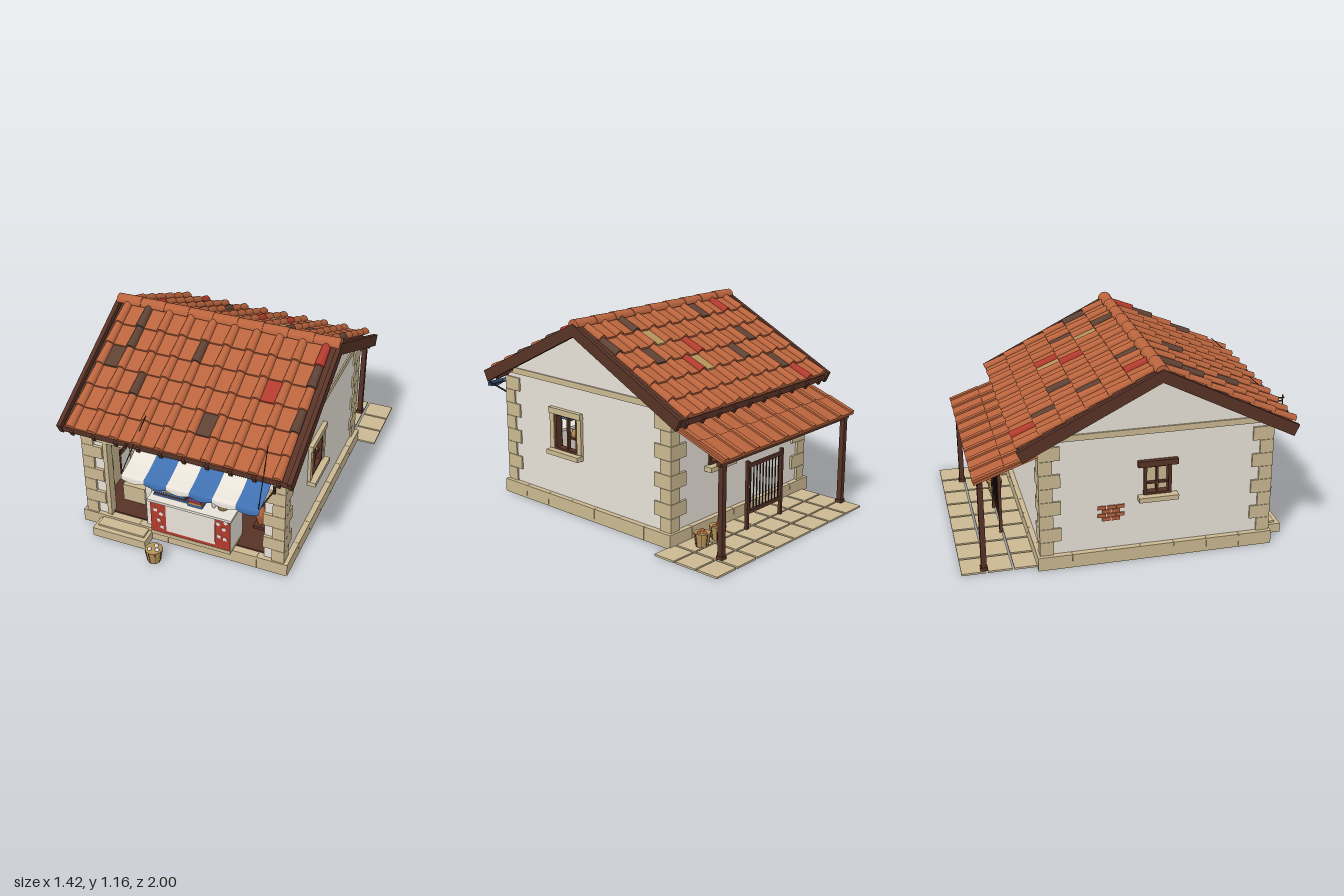
import * as THREE from 'three';

const mat = (name, color, side = THREE.FrontSide) => Object.assign(new THREE.MeshStandardMaterial({ color, side }), { name });
const M = {
  tile: mat('terracotta', 0xba643d), burnt: mat('burnt tile', 0x5e4234), timber: mat('dark timber', 0x573226),
  stone: mat('sandstone', 0xcab891), plaster: mat('plaster', 0xeae4da, THREE.DoubleSide), dark: mat('charcoal', 0x352520),
  blue: mat('blue cloth', 0x3f70b0, THREE.DoubleSide), red: mat('red', 0xb23a2d, THREE.DoubleSide),
  purple: mat('purple cloth', 0x8c48a6, THREE.DoubleSide), straw: mat('straw', 0xb5935a, THREE.DoubleSide),
};

export function createModel() {
  const root = new THREE.Group();
  root.name = 'marketHouse';
  const add = (name, geo, m, p = [0, 0, 0], parent = root) => {
    const mesh = new THREE.Mesh(geo, m);
    mesh.name = name;
    mesh.position.set(...p);
    parent.add(mesh);
    return mesh;
  };
  const box = (name, m, x0, x1, y0, y1, z0, z1, parent = root) =>
    add(name, new THREE.BoxGeometry(x1 - x0, y1 - y0, z1 - z0), m, [(x0 + x1) / 2, (y0 + y1) / 2, (z0 + z1) / 2], parent);
  const rod = (name, m, a, b, r) =>
    add(name, new THREE.TubeGeometry(new THREE.LineCurve3(new THREE.Vector3(...a), new THREE.Vector3(...b)), 1, r, 6), m);
  const lathe = (name, m, pts, p) => add(name, new THREE.LatheGeometry(pts.map(q => new THREE.Vector2(...q)), 12), m, p);
  const poly = pts => new THREE.Shape(pts.map(q => new THREE.Vector2(...q)));
  const rectHole = (x0, x1, y0, y1) => new THREE.Path([[x0, y0], [x0, y1], [x1, y1], [x1, y0]].map(q => new THREE.Vector2(...q)));
  const extrude = (shape, depth) => new THREE.ExtrudeGeometry(shape, { depth, bevelEnabled: false });
  // Profile drawn in z and y, extruded towards -x from x
  const sideExtrude = (name, m, shape, depth, x) => { add(name, extrude(shape, depth), m, [x, 0, 0]).rotation.y = -Math.PI / 2; };

  // Plinth blocks and floor
  box('floorBase', M.timber, -0.61, 0.55, 0.004, 0.088, -0.54, 0.715);
  for (let i = 0; i < 7; i++) {
    const x = -0.66 + i * 0.18, z = -0.585 + i * 0.192;
    for (const z0 of [-0.585, 0.7]) box('plinthBlock', M.stone, x, x + 0.1785, 0, 0.08, z0, z0 + 0.06);
    for (const x0 of [-0.66, 0.54]) box('plinthBlock', M.stone, x0, x0 + 0.06, 0, 0.08, z, z + 0.1905);
  }
  box('doorStep', M.stone, -0.55, -0.22, 0, 0.055, 0.76, 0.86);
  box('stepTread', M.stone, -0.53, -0.24, 0.055, 0.066, 0.76, 0.83);

  // Gable walls with window holes, lined inside
  const gable = (...hole) => {
    const s = poly([[-0.555, 0.08], [0.735, 0.08], [0.735, 0.75], [0.09, 1.08], [-0.555, 0.75]]);
    if (hole.length) s.holes.push(rectHole(...hole));
    return s;
  };
  const right = gable(0.145, 0.32, 0.365, 0.575);
  sideExtrude('sideWall', M.plaster, right, 0.035, 0.567);
  sideExtrude('sideLining', M.stone, right, 0.006, 0.531);
  sideExtrude('sideWall', M.plaster, gable(0.02, 0.16, 0.39, 0.56), 0.035, -0.592);
  sideExtrude('sideLining', M.stone, gable(), 0.006, -0.586);

  // Back wall with lining
  const back = poly([[-0.595, 0.08], [0.535, 0.08], [0.535, 0.75], [-0.595, 0.75]]);
  back.holes.push(rectHole(0.105, 0.245, 0.39, 0.555));
  add('backWall', extrude(back, 0.035), M.plaster, [0, 0, -0.555]);
  add('backLining', extrude(back, 0.006), M.stone, [0, 0, -0.519]);

  // Front wall around the door and the shop opening
  for (const [x0, x1, y0] of [[-0.595, -0.505, 0.08], [-0.26, -0.205, 0.08], [0.455, 0.535, 0.08], [-0.595, 0.535, 0.63]])
    box('frontWall', M.plaster, x0, x1, y0, y0 > 0.5 ? 0.75 : 0.63, 0.69, 0.735);
  box('doorJamb', M.stone, -0.51, -0.485, 0.08, 0.6, 0.685, 0.742);
  box('doorLintel', M.stone, -0.56, -0.2, 0.595, 0.645, 0.685, 0.744);
  box('shopJamb', M.stone, -0.22, -0.195, 0.08, 0.6, 0.685, 0.742);
  box('shopLintel', M.timber, -0.2, 0.46, 0.6, 0.64, 0.685, 0.742);

  // Corner stones and wall-top bands
  for (const sx of [-1, 1]) for (const sz of [-1, 1]) for (let i = 0; i < 8; i++) {
    const lx = i % 2 ? 0.125 : 0.072, lz = i % 2 ? 0.12 : 0.077;
    const x = sx > 0 ? 0.577 - lx : -0.638, z = sz > 0 ? 0.752 - lz : -0.57, y = 0.08 + i * 0.081;
    box('cornerStone', M.stone, x, x + lx, y, y + 0.079, z, z + lz);
  }
  for (const x of [-0.636, 0.557]) box('gableBand', M.stone, x, x + 0.018, 0.75, 0.785, -0.55, 0.73);
  box('backBand', M.stone, -0.6, 0.54, 0.72, 0.75, -0.566, -0.55);

  // Windows
  const makeWindow = (w, h, p, turn, dressed) => {
    const g = new THREE.Group();
    g.name = 'window';
    g.position.set(...p);
    g.rotation.y = turn;
    root.add(g);
    const a = w / 2, b = h / 2;
    for (const s of [-1, 1]) {
      box('frameSide', M.timber, s * a - 0.009, s * a + 0.009, -b, b, -0.03, 0.012, g);
      box('frameRail', M.timber, -a - 0.009, a + 0.009, s * b - 0.009, s * b + 0.009, -0.03, 0.012, g);
      if (dressed) box('jambStone', M.stone, s * (a + 0.024) - 0.017, s * (a + 0.024) + 0.017, -b, b, -0.01, 0.018, g);
    }
    box('mullion', M.timber, -0.006, 0.006, -b, b, -0.02, 0, g);
    box('glazingBar', M.timber, dressed ? 0 : -a, a, -0.03, -0.02, -0.02, 0, g);
    box('sill', M.stone, -a - 0.042, a + 0.042, -b - 0.032, -b - 0.004, -0.01, 0.05, g);
    box('lintel', dressed ? M.stone : M.timber, -a - 0.042, a + 0.042, b, b + 0.035, -0.01, 0.026, g);
  };
  makeWindow(0.175, 0.21, [0.567, 0.47, 0.232], Math.PI / 2, true);
  makeWindow(0.14, 0.17, [-0.627, 0.475, 0.09], -Math.PI / 2, false);
  makeWindow(0.14, 0.17, [0.175, 0.472, -0.555], Math.PI, false);
  lathe('windowPot', M.straw, [[0, 0], [0.012, 0], [0.019, 0.022], [0.01, 0.038], [0.014, 0.046], [0, 0.046]], [0.55, 0.45, 0.195]);

  // Bare brick patch
  for (let r = 0; r < 4; r++) for (let c = 0; c < 2 + (r % 2); c++) {
    const z = -0.22 + c * 0.052 - (r % 2) * 0.026;
    box('brick', M.tile, -0.634, -0.625, 0.25 + r * 0.024, 0.27 + r * 0.024, z, z + 0.046);
  }

  // Roof deck, bargeboards, fascias and rafters
  const slope = Math.atan(0.5);
  const chevron = (top, run, t) => poly([[0, top], [-run, top - run / 2], [-run + 0.03, top - run / 2 - t + 0.01],
    [0, top - t], [run - 0.03, top - run / 2 - t + 0.01], [run, top - run / 2]].map(([z, y]) => [z + 0.09, y]));
  sideExtrude('roofDeck', M.timber, chevron(1.112, 0.755, 0.035), 1.3, 0.62);
  for (const x of [0.645, -0.685]) sideExtrude('bargeboard', M.timber, chevron(1.137, 0.78, 0.072), 0.025, x);
  for (const s of [-1, 1]) {
    const z = 0.09 + s * 0.745;
    box('fascia', M.timber, -0.7, 0.635, 0.7, 0.732, z - 0.012, z + 0.012);
    for (let i = 0; i < 10; i++)
      add('rafter', new THREE.BoxGeometry(0.02, 0.034, 0.18), M.timber, [-0.63 + i * 0.133, 0.738, 0.09 + s * 0.68]).rotation.x = s * slope;
  }

  // Roof tiles: odd-coloured ones keyed by side, kind, column and row
  const odd = {
    burnt: 'fc10 fc11 fc41 fc23 fc91 fc93 fp02 fp54 bp14 bc33 bp12 bp72 bp20 bc70 bc91',
    red: 'fc90 fp72 bc15 bc63 bc52 bc10', straw: 'bp53 bp61',
  };
  const tileMat = key => M[Object.keys(odd).find(k => odd[k].includes(key)) || 'tile'];
  const L = 0.139;
  for (const s of [1, -1]) {
    const g = new THREE.Group();
    g.name = s > 0 ? 'frontTiles' : 'backTiles';
    g.position.set(0, 1.119, 0.09);
    g.rotation.x = s * slope;
    root.add(g);
    const cover = new THREE.CylinderGeometry(s > 0 ? 0.028 : 0.023, s > 0 ? 0.023 : 0.028, L + 0.02, 8, 1, false, Math.PI / 2, Math.PI).rotateX(Math.PI / 2);
    const pan = new THREE.BoxGeometry(0.13, 0.016, L + 0.015);
    const side = s > 0 ? 'f' : 'b';
    for (let r = 0; r < 6; r++) for (let c = 0; c < 10; c++) {
      const x = -0.63 + c * 0.1328, d = s * ((r + 0.5) * L + 0.015);
      add('coverTile', cover, tileMat(side + 'c' + c + r), [x, 0.012, d], g).rotation.x = -s * 0.06;
      if (c < 9) add('panTile', pan, tileMat(side + 'p' + c + r), [x + 0.0664, 0.006, d], g).rotation.x = -s * 0.08;
    }
  }
  const cap = new THREE.CylinderGeometry(0.036, 0.04, 0.152, 10, 1, false, 0, Math.PI).rotateZ(Math.PI / 2);
  for (let i = 0; i < 9; i++) add('ridgeTile', cap, M.tile, [-0.626 + i * 0.1485, 1.122, 0.088]);

  // Back porch: tiled lean-to, posts, paving
  const porch = new THREE.Group();
  porch.name = 'porchRoof';
  porch.position.set(0, 0.685, -0.565);
  porch.rotation.x = -0.347;
  root.add(porch);
  box('porchDeck', M.tile, -0.63, 0.57, -0.012, 0.002, -0.37, 0, porch);
  for (let r = 0; r < 2; r++) for (let i = 0; i < 10; i++) {
    const x = -0.61 + i * 0.128, z = -0.37 + r * 0.18, lift = r ? 0 : 0.004;
    box('porchRib', M.tile, x - 0.014, x + 0.014, 0, 0.012 + lift, z, z + 0.185, porch);
    if (!r && i < 9) box('porchPan', M.tile, x + 0.016, x + 0.112, 0, 0.007, z, z + 0.185, porch);
  }
  for (const x of [-0.585, 0.525]) {
    box('porchPost', M.timber, x - 0.015, x + 0.015, 0.01, 0.54, -0.89, -0.86);
    box('postFoot', M.timber, x - 0.02, x + 0.02, 0.01, 0.03, -0.895, -0.855);
  }
  box('porchBeam', M.timber, -0.62, 0.56, 0.525, 0.55, -0.888, -0.862);
  for (let i = 0; i < 8; i++) for (let j = 0; j < 3; j++)
    box('pavingSlab', M.stone, -0.61 + i * 0.167, -0.457 + i * 0.167, 0, 0.011, -1 + j * 0.145, -0.866 + j * 0.145);

  // Standing barred frame behind the house
  for (const x of [-0.19, 0.12]) box('frameStile', M.timber, x - 0.009, x + 0.009, 0.01, 0.41, -0.734, -0.716);
  for (const y of [0.1, 0.37]) box('frameBar', M.timber, -0.19, 0.12, y, y + 0.02, -0.733, -0.717);
  for (let i = 0; i < 10; i++) rod('uprightBar', M.dark, [-0.163 + i * 0.0284, 0.11, -0.725], [-0.163 + i * 0.0284, 0.38, -0.725], 0.004);

  // Slatted baskets
  for (const [x, y, z, k] of [[-0.135, 0, 0.914, 1], [0.46, 0.011, -0.69, 0.92], [0.33, 0.011, -0.69, 0.92]]) {
    add('basket', new THREE.CylinderGeometry(0.051 * k, 0.038 * k, 0.085 * k, 10), M.straw, [x, y + 0.0425 * k, z]);
    for (let i = 0; i < 8; i++) {
      const c = k * Math.cos(i * 0.785 + 0.2), s = k * Math.sin(i * 0.785 + 0.2);
      rod('basketSlat', M.timber, [x + 0.037 * c, y + 0.002, z + 0.037 * s], [x + 0.05 * c, y + 0.085 * k, z + 0.05 * s], 0.002);
      if (i % 3 === 0) add('produce', new THREE.SphereGeometry(0.013 * k, 8, 6), z > 0 ? M.plaster : M.tile, [x + 0.024 * c, y + 0.085 * k, z + 0.024 * s]);
    }
  }

  // Striped awning with scalloped valance
  for (let i = 0; i < 6; i++) {
    const geo = new THREE.PlaneGeometry(0.13, 1, 8, 10), p = geo.attributes.position;
    for (let k = 0; k < p.count; k++) {
      const u = p.getX(k) / 0.13 + 0.5, t = 0.5 - p.getY(k), a = Math.min(t / 0.8, 1), v = Math.max(t - 0.8, 0) / 0.2;
      p.setY(k, 0.72 - 0.087 * a - 0.015 * Math.sin(Math.PI * a) - v * (0.025 + 0.016 * Math.sin(Math.PI * u)));
      p.setZ(k, 0.76 + 0.232 * a + 0.004 * v);
    }
    geo.computeVertexNormals();
    add('awningStripe', geo, i % 2 ? M.blue : M.plaster, [-0.195 + i * 0.13, 0, 0]);
  }
  for (const [x, xr] of [[-0.262, -0.225], [0.512, 0.47]]) {
    rod('awningRope', M.dark, [x, 0.638, 0.985], [xr, 0.86, 0.745], 0.0025);
    rod('awningArm', M.dark, [x, 0.632, 0.985], [x, 0.58, 0.75], 0.005);
    box('awningBracket', M.dark, x - 0.008, x + 0.008, 0.555, 0.61, 0.735, 0.755);
  }
  rod('awningBar', M.timber, [-0.26, 0.615, 0.978], [0.51, 0.615, 0.978], 0.004);

  // Blank hanging sign
  rod('signArm', M.timber, [-0.29, 0.735, 0.74], [-0.29, 0.735, 0.945], 0.005);
  box('signBoard', M.plaster, -0.294, -0.286, 0.6, 0.715, 0.84, 0.935);
  for (const z of [0.835, 0.935]) rod('signEdge', M.timber, [-0.29, 0.59, z], [-0.29, 0.755, z], 0.005);
  for (const y of [0.597, 0.715]) rod('signEdge', M.timber, [-0.29, y, 0.835], [-0.29, y, 0.935], 0.005);

  // Counter with painted front panels and chipped spots
  box('counterBase', M.stone, -0.2, 0.28, 0.088, 0.112, 0.62, 0.805);
  box('counterBody', M.plaster, -0.2, 0.28, 0.112, 0.33, 0.62, 0.798);
  box('counterFront', M.red, -0.2, 0.28, 0.112, 0.33, 0.798, 0.803);
  box('counterPanel', M.plaster, -0.105, 0.19, 0.135, 0.33, 0.8, 0.807);
  box('counterTop', M.plaster, -0.212, 0.292, 0.33, 0.346, 0.61, 0.818);
  [[-0.17, 0.27], [-0.135, 0.25], [-0.15, 0.2], [-0.13, 0.155], [0.21, 0.29], [0.245, 0.26], [0.215, 0.2], [0.255, 0.31], [0.25, 0.19]].forEach(([x, y], i) => {
    add('chip', new THREE.BoxGeometry(0.022, 0.022, 0.005), M.plaster, [x, y, 0.803]).rotation.z = i;
  });

  // Folded cloth and wares on the counter
  ['blue', 'timber', 'blue', 'straw', 'timber', 'straw'].forEach((c, i) =>
    box('foldedCloth', M[c], -0.192 + (i % 2) * 0.008, 0.012 - i * 0.008, 0.346 + i * 0.012, 0.357 + i * 0.012, 0.67, 0.77));
  ['blue', 'straw', 'red', 'purple'].forEach((c, i) =>
    box('foldedCloth', M[c], 0.02 + i * 0.003, 0.108 - i * 0.003, 0.346 + i * 0.014, 0.359 + i * 0.014, 0.7, 0.785));
  lathe('smallVase', M.plaster, [[0, 0], [0.01, 0], [0.014, 0.03], [0.006, 0.055], [0.008, 0.075]], [0.16, 0.346, 0.74]);
  lathe('smallBasket', M.straw, [[0, 0], [0.028, 0], [0.036, 0.04], [0.03, 0.04], [0, 0.03]], [0.21, 0.346, 0.73]);

  // Hanging textiles and rings
  rod('hangingRail', M.timber, [-0.2, 0.6, 0.77], [0.46, 0.6, 0.77], 0.005);
  for (const [x, c] of [[-0.127, 'red'], [0.075, 'straw'], [0.275, 'purple']]) {
    const geo = new THREE.PlaneGeometry(0.074, 0.16, 24, 1), p = geo.attributes.position;
    for (let k = 0; k < p.count; k++) p.setZ(k, 0.003 * Math.sin(p.getX(k) * 340));
    geo.computeVertexNormals();
    add('hangingCloth', geo, M[c], [x, 0.515, 0.772]);
  }
  for (const [x, c] of [[-0.027, 'blue'], [0.175, 'straw'], [0.375, 'plaster']])
    add('hangingRing', new THREE.TorusGeometry(0.022, 0.007, 6, 16), M[c], [x, 0.565, 0.77]);

  // Jars, chest, barrel and shelves inside
  const jar = [[0, 0], [0.012, 0], [0.02, 0.025], [0.036, 0.075], [0.033, 0.1], [0.013, 0.135], [0.01, 0.15], [0.012, 0.175], [0, 0.175]];
  for (const [m, x, z] of [[M.tile, 0.352, 0.52], [M.straw, 0.425, 0.44]]) {
    lathe('jar', m, jar, [x, 0.105, z]);
    box('jarStand', M.timber, x - 0.035, x + 0.035, 0.088, 0.106, z - 0.03, z + 0.03);
    for (const s of [-1, 1]) rod('jarHandle', m, [x + s * 0.012, 0.27, z], [x + s * 0.03, 0.215, z], 0.004);
  }
  box('chest', M.stone, -0.48, -0.34, 0.088, 0.2, 0.45, 0.6);
  add('barrel', new THREE.CylinderGeometry(0.033, 0.033, 0.09, 10).rotateZ(Math.PI / 2), M.timber, [-0.437, 0.235, 0.53]);
  for (const y of [0.39, 0.5]) box('shelf', M.timber, -0.2, 0.08, y, y + 0.014, -0.51, -0.41);
  ['stone', 'straw', 'stone', 'straw'].forEach((c, i) => box('shelfCloth', M[c], -0.18 + i * 0.06, -0.13 + i * 0.06, 0.404, 0.44, -0.5, -0.42));
  return root;
}
